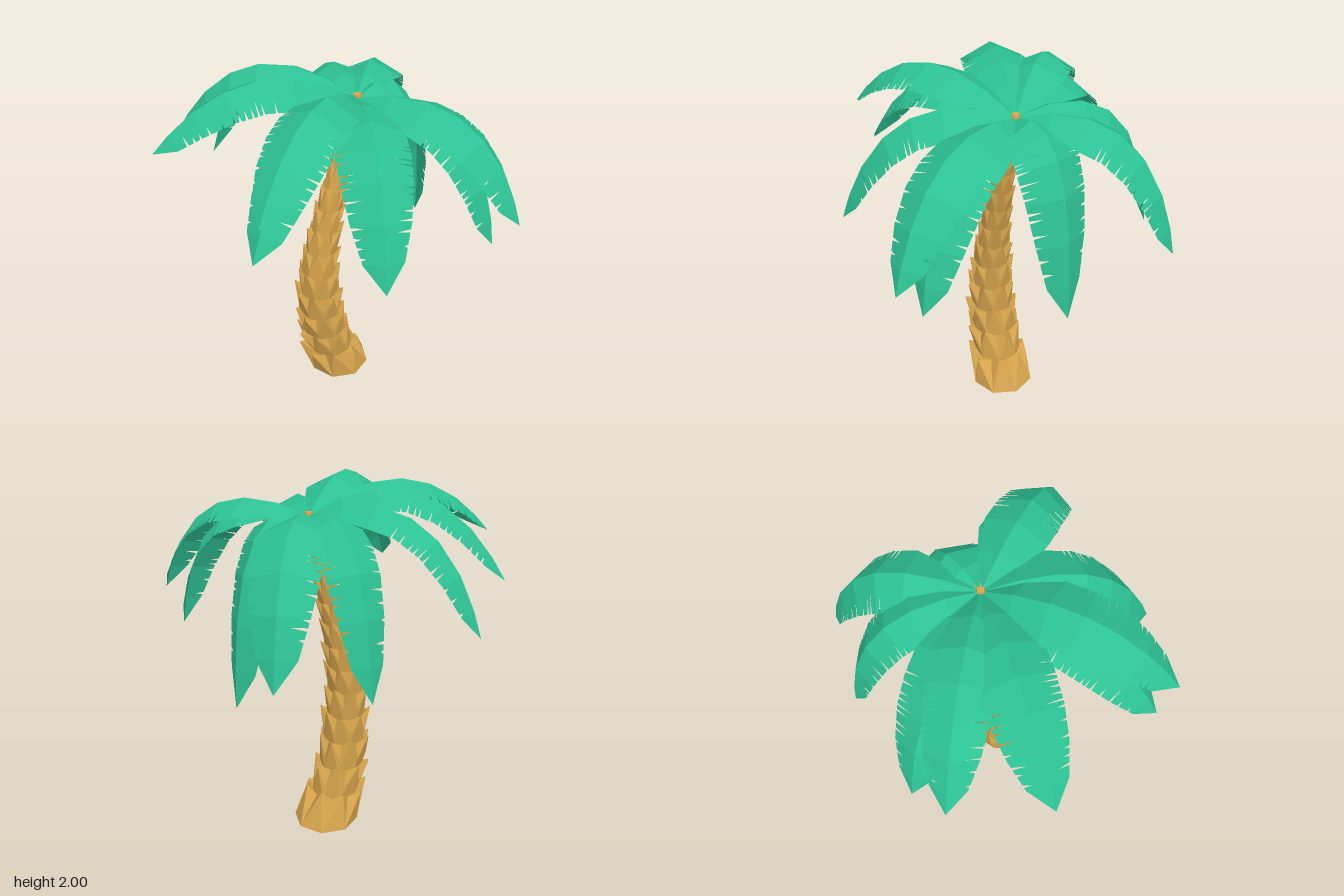
import * as THREE from 'three';

const lerp = THREE.MathUtils.lerp;
const V = (x, y, z) => new THREE.Vector3(x, y, z);

// Small seeded random generator
function seeded(seed) {
  let s = seed;
  return () => (s = (s * 16807) % 2147483647) / 2147483647;
}

function meshFrom(points, material, name) {
  const geometry = new THREE.BufferGeometry().setFromPoints(points);
  geometry.computeVertexNormals();
  const mesh = new THREE.Mesh(geometry, material);
  mesh.name = name;
  return mesh;
}

const CROWN = V(0.19, 1.835, -0.025);

// Trunk centre line and radius by height: [y, x, radius]
const TRUNK = [
  [0, 0.09, 0.188], [0.2, 0.015, 0.152], [0.4, -0.04, 0.143], [0.6, -0.056, 0.13], [0.8, -0.058, 0.113],
  [1.0, -0.03, 0.095], [1.2, 0.015, 0.08], [1.4, 0.065, 0.065], [1.6, 0.115, 0.052], [1.85, 0.185, 0.036],
];

function trunkAt(y) {
  let i = 0;
  while (i < TRUNK.length - 2 && y > TRUNK[i + 1][0]) i++;
  const [a, b] = [TRUNK[i], TRUNK[i + 1]];
  const k = (y - a[0]) / (b[0] - a[0]);
  return { x: lerp(a[1], b[1], k), r: lerp(a[2], b[2], k) };
}

// One ring of broad pointed bark scales that flare outwards and up
function barkRing(y0, y1, turn, rand, material) {
  const sides = 8, h = y1 - y0;
  const place = (j, y, scale) => {
    const t = trunkAt(y), a = ((j % sides) / sides) * Math.PI * 2 + turn;
    return V(t.x + Math.sin(a) * t.r * scale, y, -0.02 + Math.cos(a) * t.r * scale);
  };
  const low = [], valley = [], inner = [], tip = [];
  for (let j = 0; j < sides; j++) {
    low.push(place(j, y0, y0 === 0 ? 1 : 0.86));
    valley.push(place(j, y0 + h * 0.45, 0.95));
    inner.push(place(j, y1, 0.82));
    tip.push(place(j + 0.5, y1 + h * (0.05 + 0.3 * rand()), 1.08 + 0.14 * rand()));
  }
  const points = [];
  for (let j = 0; j < sides; j++) {
    const k = (j + 1) % sides;
    points.push(low[j], low[k], tip[j], low[k], valley[k], tip[j], low[j], tip[j], valley[j]);
    points.push(valley[j], tip[j], inner[j], tip[j], inner[k], inner[j], tip[j], valley[k], inner[k]);
    if (y0 === 0) points.push(V(0.09, 0, -0.02), low[k], low[j]);
  }
  return meshFrom(points, material, 'barkRing');
}

// Frond outline: [position along the rib, half width]
const OUTLINE = [[0, 0.012], [0.14, 0.125], [0.3, 0.205], [0.46, 0.205], [0.62, 0.195], [0.78, 0.165], [0.91, 0.115], [1, 0]];

// Arching roof-shaped frond with slits cut into both edges
function frond(tip, lift, reach, width, rand, material) {
  const control = V(lerp(CROWN.x, tip.x, reach), lift, lerp(CROWN.z, tip.z, reach));
  const curve = new THREE.QuadraticBezierCurve3(CROWN, control, tip);
  const side = V(tip.z - CROWN.z, 0, CROWN.x - tip.x).normalize();
  const stations = OUTLINE.map(([t, w]) => {
    const rib = curve.getPoint(t);
    const normal = curve.getTangent(t).cross(side).normalize();
    const edge = (s) => rib.clone().addScaledVector(side, s * w * width * 0.88).addScaledVector(normal, -w * width * 0.42);
    return { t, rib, edges: { 1: edge(1), '-1': edge(-1) } };
  });
  // Straight panels between the stations keep the facets flat
  const at = (t, s) => {
    let i = 0;
    while (i < stations.length - 2 && t > stations[i + 1].t) i++;
    const [a, b] = [stations[i], stations[i + 1]];
    const k = (t - a.t) / (b.t - a.t);
    return [a.rib.clone().lerp(b.rib, k), a.edges[s].clone().lerp(b.edges[s], k)];
  };
  const points = [];
  for (const s of [1, -1]) {
    const cuts = OUTLINE.map(([t]) => ({ t, depth: 0 }));
    for (let t = 0.4 + 0.04 * rand(); t < 0.9; t += 0.025 + 0.045 * rand()) {
      const depth = 0.15 + 0.4 * rand();
      cuts.push({ t: t - 0.005, depth: 0 }, { t: t - 0.002, depth }, { t: t + 0.006, depth: 0 });
    }
    cuts.sort((a, b) => a.t - b.t);
    const row = cuts.map(({ t, depth }) => {
      const [rib, edge] = at(t, s);
      return [rib, edge.lerp(rib, depth)];
    });
    for (let i = 0; i < row.length - 1; i++) {
      const [a, b] = row[i], [c, d] = row[i + 1];
      if (s > 0) points.push(a, c, b, c, d, b);
      else points.push(a, b, c, c, b, d);
    }
  }
  return meshFrom(points, material, 'frond');
}

export function createModel() {
  const bark = new THREE.MeshStandardMaterial({ color: 0xd9a64e, flatShading: true, side: THREE.DoubleSide });
  const leaf = new THREE.MeshStandardMaterial({ color: 0x2dc194, flatShading: true, side: THREE.DoubleSide });
  const shell = new THREE.MeshStandardMaterial({ color: 0x6e5a50, flatShading: true });
  const rand = seeded(4711);
  const model = new THREE.Group();
  model.name = 'palmTree';

  // Trunk of stacked bark rings
  const trunk = new THREE.Group();
  trunk.name = 'trunk';
  let y = 0;
  for (let i = 0; i < 13; i++) {
    const h = 0.17 - 0.005 * i;
    trunk.add(barkRing(y, y + h, (i % 2) * Math.PI / 8, rand, bark));
    y += h;
  }
  const knob = new THREE.Mesh(new THREE.CylinderGeometry(0.02, 0.034, 0.06, 6), bark);
  knob.name = 'trunkTip';
  knob.position.set(CROWN.x, 1.825, CROWN.z);
  trunk.add(knob);
  model.add(trunk);

  // Fronds: tip position, control height, reach of the arch, width
  const crown = new THREE.Group();
  crown.name = 'crown';
  const fronds = [
    [-0.82, 1.68, -0.33, 2.22, 0.55, 1],
    [-0.52, 1.53, -0.73, 2.24, 0.6, 0.9],
    [-0.29, 1.29, -0.80, 2.12, 0.75, 0.9],
    [0.37, 1.11, -0.76, 2.11, 0.85, 0.8],
    [0.80, 1.22, -0.60, 2.09, 0.8, 0.95],
    [0.69, 0.92, -0.07, 2.08, 0.97, 1],
    [0.62, 1.35, 0.80, 2.09, 0.75, 0.95],
    [0.59, 1.16, 0.67, 2.04, 0.85, 0.95],
    [-0.20, 1.27, 0.78, 2.08, 0.72, 1],
    [-0.69, 1.42, 0.41, 2.13, 0.65, 0.95],
    [-0.69, 1.67, 0.49, 2.24, 0.58, 0.95],
  ];
  for (const [x, ty, z, lift, reach, width] of fronds) {
    crown.add(frond(V(x, ty, z), lift, reach, width, rand, leaf));
  }
  model.add(crown);

  // Nuts hanging below the crown
  const nuts = new THREE.Group();
  nuts.name = 'nuts';
  for (let i = 0; i < 5; i++) {
    const a = i * 1.26 + 0.6;
    const nut = new THREE.Mesh(new THREE.IcosahedronGeometry(0.034, 0), shell);
    nut.name = 'nut';
    nut.position.set(0.215 + Math.cos(a) * 0.045, 1.735 + 0.025 * (i % 2), -0.06 + Math.sin(a) * 0.045);
    nut.rotation.set(i, i * 2, 0);
    nuts.add(nut);
  }
  model.add(nuts);
  return model;
}
